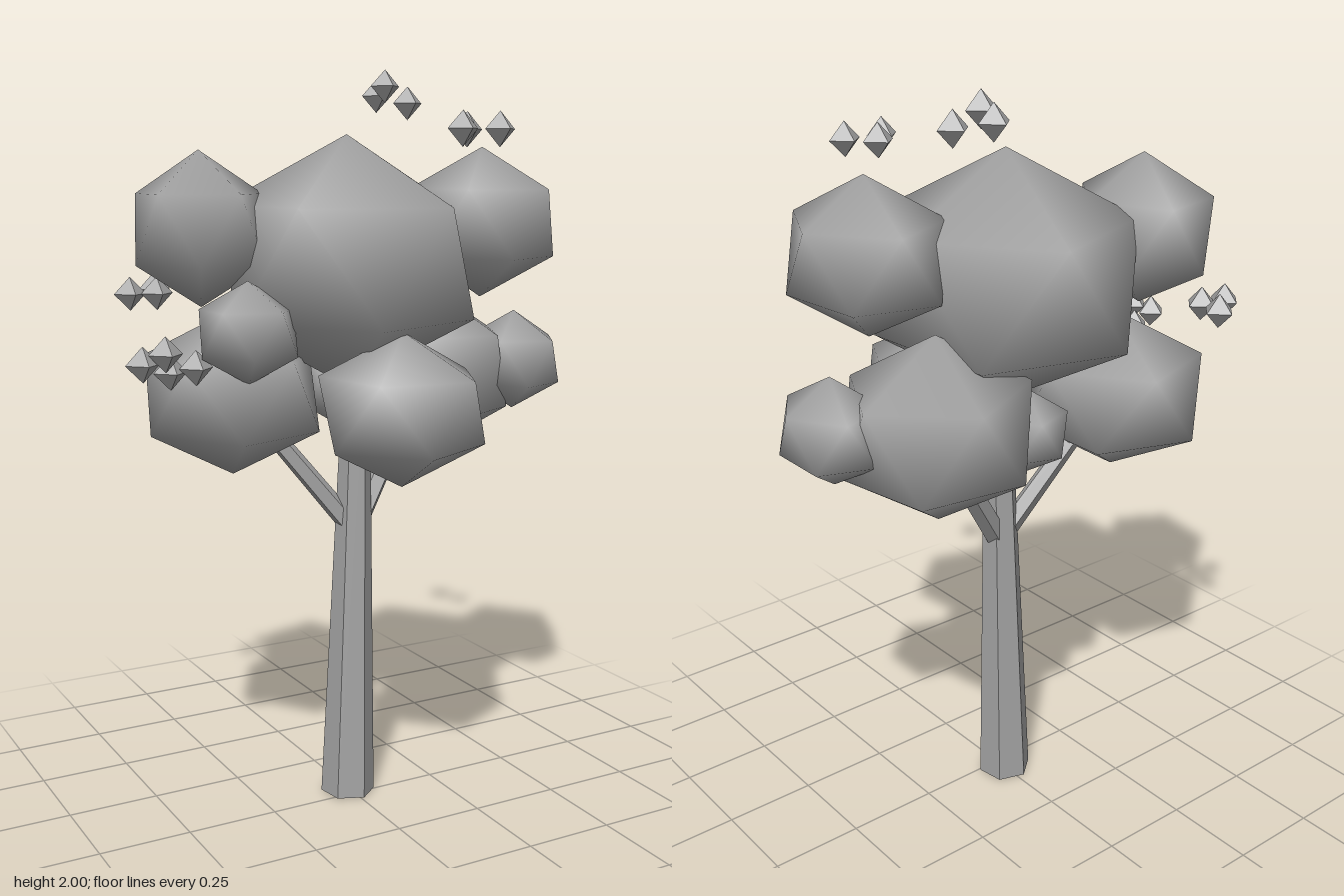
import * as THREE from 'three';

// Twenty-sided ball with a corner pointing up and rounded (radial) normals.
function makeBall() {
  const geo = new THREE.IcosahedronGeometry(1, 0);
  geo.rotateZ(Math.atan2(2, 1 + Math.sqrt(5)));
  geo.rotateY(Math.PI);
  geo.setAttribute('normal', geo.attributes.position.clone());
  return geo;
}

// Tapered limb between two points.
function limb(name, from, to, r0, r1, sides, turn, material) {
  const a = new THREE.Vector3(...from);
  const b = new THREE.Vector3(...to);
  const dir = b.clone().sub(a);
  const geo = new THREE.CylinderGeometry(r1, r0, dir.length(), sides);
  geo.rotateY(turn);
  const mesh = new THREE.Mesh(geo, material);
  mesh.name = name;
  mesh.position.copy(a).add(b).multiplyScalar(0.5);
  mesh.quaternion.setFromUnitVectors(new THREE.Vector3(0, 1, 0), dir.normalize());
  return mesh;
}

export function createModel() {
  const tree = new THREE.Group();
  tree.name = 'tree';
  const grey = new THREE.MeshStandardMaterial({ color: 0xa4a4a4 });
  grey.name = 'grey';
  const facetedGrey = grey.clone();
  facetedGrey.flatShading = true;

  // Trunk and its two branches
  tree.add(
    limb('trunk', [-0.006, 0, -0.03], [0.028, 1.2, -0.04], 0.075, 0.037, 6, Math.PI / 18, facetedGrey),
    limb('leftBranch', [0.03, 0.77, -0.04], [0.28, 1.15, -0.12], 0.031, 0.029, 5, 0.3, facetedGrey),
    limb('rightBranch', [0.0, 0.78, -0.04], [-0.28, 1.14, -0.12], 0.03, 0.024, 5, 0.3, facetedGrey),
  );

  // Foliage clumps: name, centre, half sizes, yaw
  const ball = makeBall();
  const clumps = [
    ['crownClump', [-0.01, 1.49, -0.025], [0.33, 0.33, 0.335], 0.06],
    ['upperLeftClump', [0.365, 1.59, 0.045], [0.185, 0.2, 0.205], 0.1],
    ['upperRightClump', [-0.38, 1.58, -0.135], [0.17, 0.2, 0.195], -0.12],
    ['lowerLeftClump', [0.285, 1.175, -0.12], [0.245, 0.245, 0.225], 0.17],
    ['lowerRightClump', [-0.3, 1.15, -0.13], [0.23, 0.22, 0.235], 0],
    ['lowerFrontClump', [0.015, 1.13, 0.225], [0.215, 0.2, 0.2], 0.16],
    ['smallLeftClump', [0.525, 1.2, -0.02], [0.125, 0.14, 0.135], 0],
    ['smallRightClump', [-0.34, 1.33, 0.07], [0.125, 0.13, 0.12], 0],
    ['smallFrontClump', [0.215, 1.08, 0.09], [0.105, 0.115, 0.105], 0],
    ['smallBackClump', [0.055, 1.135, -0.185], [0.105, 0.115, 0.105], 0],
  ];
  for (const [name, centre, half, yaw] of clumps) {
    const clump = new THREE.Mesh(ball, grey);
    clump.name = name;
    clump.position.set(...centre);
    clump.scale.set(half[0] / 0.894, half[1], half[2] / 0.85);
    clump.rotation.y = yaw;
    tree.add(clump);
  }

  // Loose leaves floating in four clusters
  const leafGeo = new THREE.OctahedronGeometry(0.045);
  const clusters = {
    frontLeaves: [[0.163, 1.83, 0.26], [0.218, 1.83, 0.195], [0.274, 1.83, 0.26]],
    topLeaves: [[0.205, 1.955, -0.2], [0.246, 1.908, -0.148], [0.2, 1.93, -0.24]],
    sideLeaves: [[-0.61, 1.265, 0.045], [-0.56, 1.29, 0.07], [-0.475, 1.25, 0.055], [-0.535, 1.24, 0.035]],
    backLeaves: [[-0.505, 1.405, -0.325], [-0.41, 1.41, -0.395], [-0.435, 1.405, -0.31]],
  };
  for (const [name, spots] of Object.entries(clusters)) {
    const cluster = new THREE.Group();
    cluster.name = name;
    for (const spot of spots) {
      const leaf = new THREE.Mesh(leafGeo, facetedGrey);
      leaf.name = 'leaf';
      leaf.position.set(...spot);
      cluster.add(leaf);
    }
    tree.add(cluster);
  }
  return tree;
}
